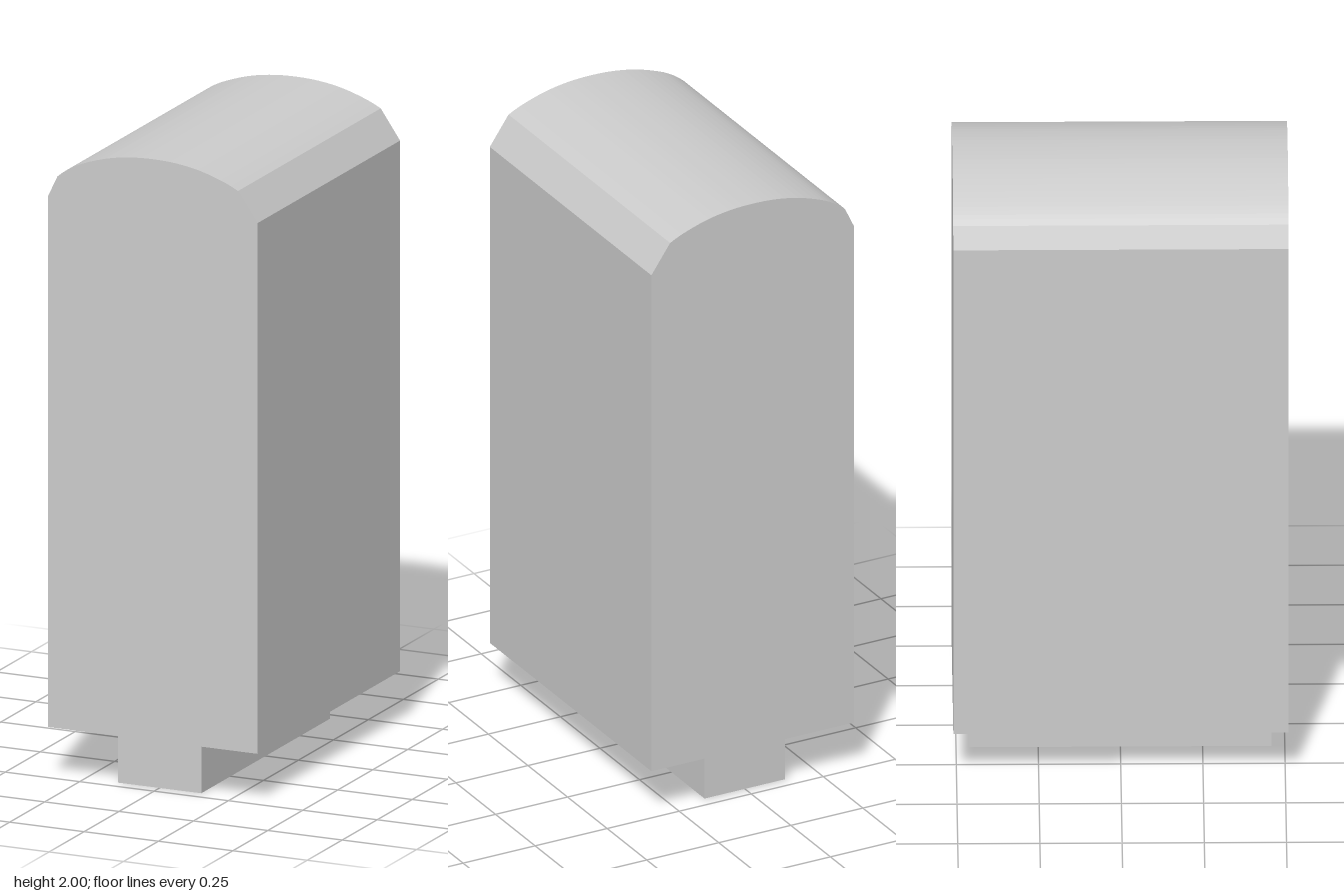
import * as THREE from 'three';

export function createModel() {
  const group = new THREE.Group();
  const material = new THREE.MeshStandardMaterial({ color: 0xcccccc });

  // Upright block with an arched top and uneven shoulder chamfers
  const halfWidth = 0.352, bottom = 0.163, depth = 1.02;
  const profile = new THREE.Shape();
  profile.moveTo(-halfWidth, bottom);
  profile.lineTo(halfWidth, bottom);
  profile.lineTo(halfWidth, 1.84);
  profile.lineTo(0.287, 1.934);
  profile.splineThru([
    [0.24, 1.956], [0.16, 1.982], [0.08, 1.996], [0, 2],
    [-0.08, 1.996], [-0.16, 1.982], [-0.24, 1.956], [-0.287, 1.932], [-0.32, 1.907],
  ].map(([x, y]) => new THREE.Vector2(x, y)));
  profile.lineTo(-halfWidth, 1.84);
  profile.closePath();

  const bodyGeometry = new THREE.ExtrudeGeometry(profile, { depth, bevelEnabled: false, curveSegments: 3 });
  bodyGeometry.translate(0, 0, -depth / 2);
  const body = new THREE.Mesh(bodyGeometry, material);
  body.name = 'body';
  group.add(body);

  // Narrow foot below the block
  const foot = new THREE.Mesh(new THREE.BoxGeometry(0.28, bottom, 0.92), material);
  foot.position.y = bottom / 2;
  foot.name = 'foot';
  group.add(foot);

  return group;
}
